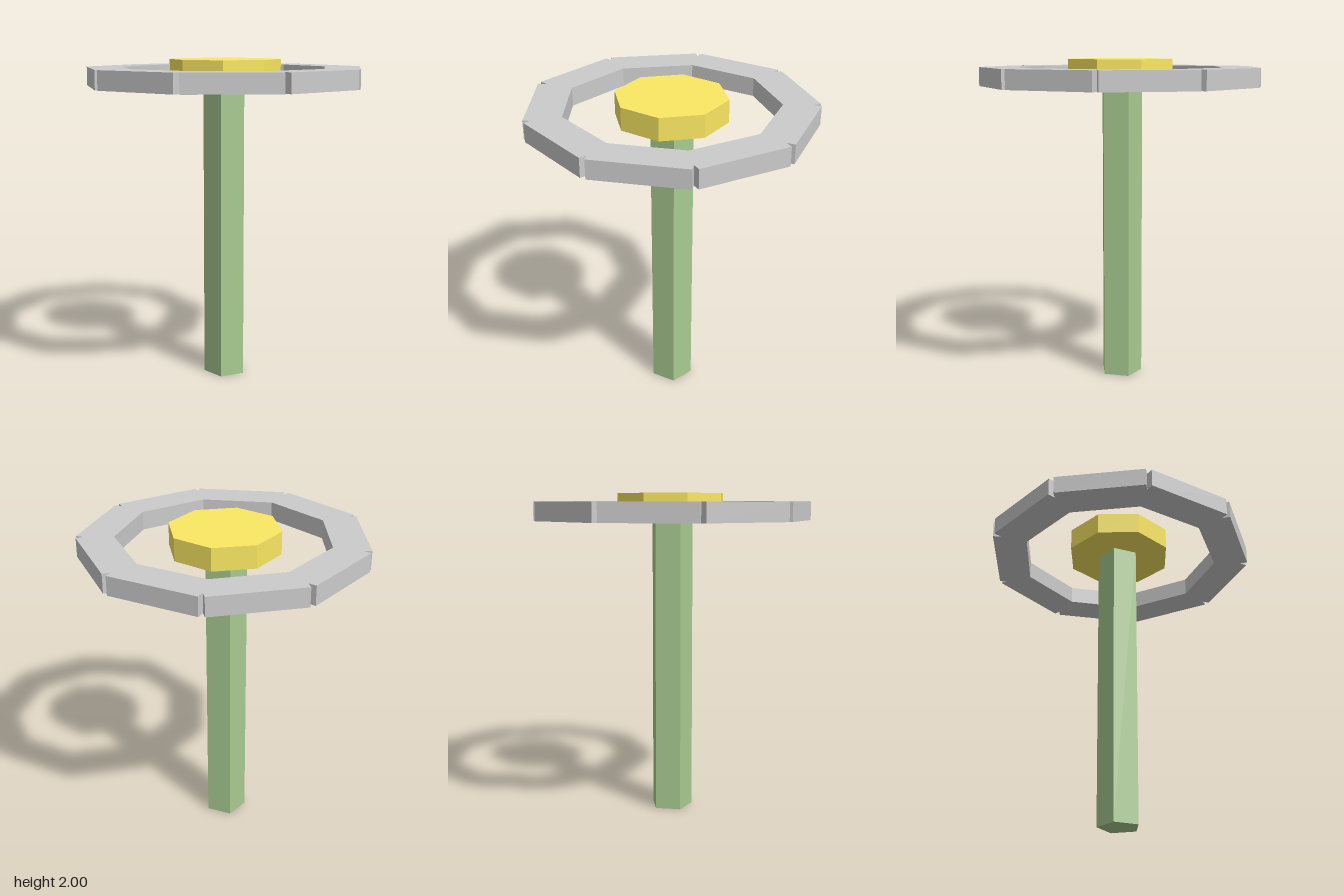
import * as THREE from 'three';

const material = (color) => new THREE.MeshStandardMaterial({ color, flatShading: true });

export function createModel() {
  const model = new THREE.Group();
  model.name = 'flower';

  const add = (parent, name, geometry, mat, x, y, z) => {
    const mesh = new THREE.Mesh(geometry, mat);
    mesh.name = name;
    mesh.position.set(x, y, z);
    parent.add(mesh);
    return mesh;
  };

  // Everything shares one vertical axis, slightly off the centre
  const axisX = 0.02;

  // Five-sided stem with one corner pointing to the back
  const stemTop = 1.87;
  const stem = add(model, 'stem', new THREE.CylinderGeometry(0.134, 0.134, stemTop, 5),
    material(0xa9cb91), axisX, stemTop / 2, 0);
  stem.rotation.y = Math.PI;

  // Eight-sided flower centre
  const discHeight = 0.14;
  add(model, 'flowerCentre', new THREE.CylinderGeometry(0.34, 0.34, discHeight, 8),
    material(0xfbe862), axisX, 2 - discHeight / 2, 0);

  // Ring of nine straight petals whose ends overlap, leaving small outer notches
  const ring = new THREE.Group();
  ring.name = 'petalRing';
  ring.position.set(axisX, 1.8925, 0);
  model.add(ring);
  const inner = 0.606, outer = 0.82, count = 9;
  const petalGeometry = new THREE.BoxGeometry(outer - inner, 0.115, 0.56);
  const petalMaterial = material(0xcccccc);
  const radius = (inner + outer) / 2;
  for (let i = 0; i < count; i++) {
    const angle = (i / count) * Math.PI * 2;
    const petal = add(ring, `petal${i + 1}`, petalGeometry, petalMaterial,
      Math.cos(angle) * radius, 0, -Math.sin(angle) * radius);
    petal.rotation.y = angle;
  }

  return model;
}
